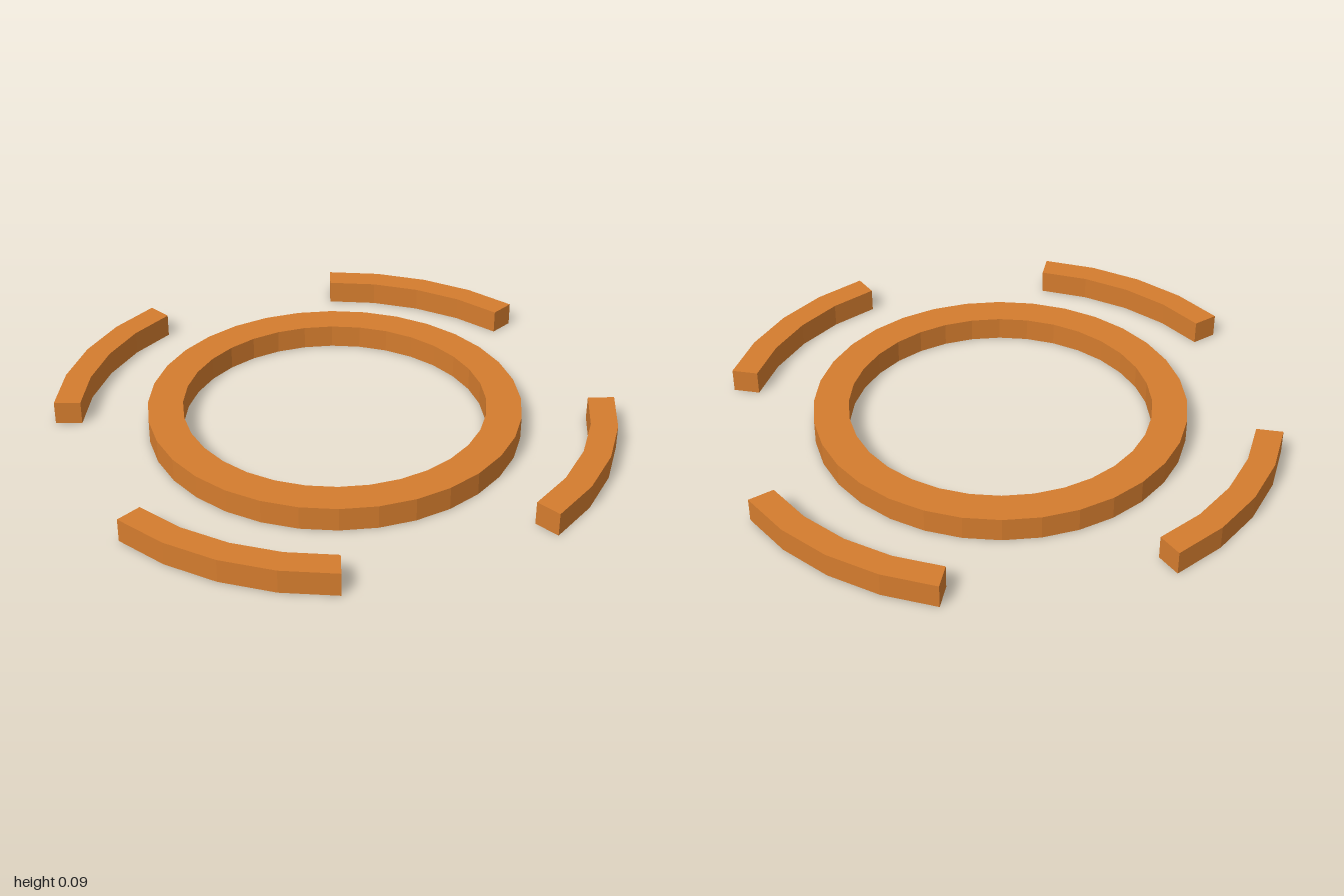
import * as THREE from 'three';

const HEIGHT = 0.092;
const STEP = Math.PI / 16; // facet angle shared by ring and arcs

// Points along a faceted arc
function arcPoints(radius, start, count) {
  return Array.from({ length: count }, (_, i) => {
    const a = start + i * STEP;
    return new THREE.Vector2(radius * Math.cos(a), radius * Math.sin(a));
  });
}

// Extrude a flat outline upward from y = 0
function slab(shape, name, material) {
  const geometry = new THREE.ExtrudeGeometry(shape, { depth: HEIGHT, bevelEnabled: false });
  geometry.rotateX(-Math.PI / 2);
  const mesh = new THREE.Mesh(geometry, material);
  mesh.name = name;
  return mesh;
}

export function createModel() {
  const group = new THREE.Group();
  group.name = 'segmentedRing';
  const material = new THREE.MeshStandardMaterial({ color: 0xd47c2e, flatShading: true });

  // Closed inner ring
  const ring = new THREE.Shape(arcPoints(0.72, 0, 32));
  ring.holes.push(new THREE.Path(arcPoints(0.585, 0, 32).reverse()));
  group.add(slab(ring, 'innerRing', material));

  // Four outer arcs, one per diagonal
  const arc = new THREE.Shape([
    ...arcPoints(1.082, Math.PI / 8, 5),
    ...arcPoints(0.98, Math.PI / 8, 5).reverse(),
  ]);
  ['backLeftArc', 'backRightArc', 'frontRightArc', 'frontLeftArc'].forEach((name, i) => {
    const mesh = slab(arc, name, material);
    mesh.rotation.y = i * Math.PI / 2;
    group.add(mesh);
  });

  return group;
}
